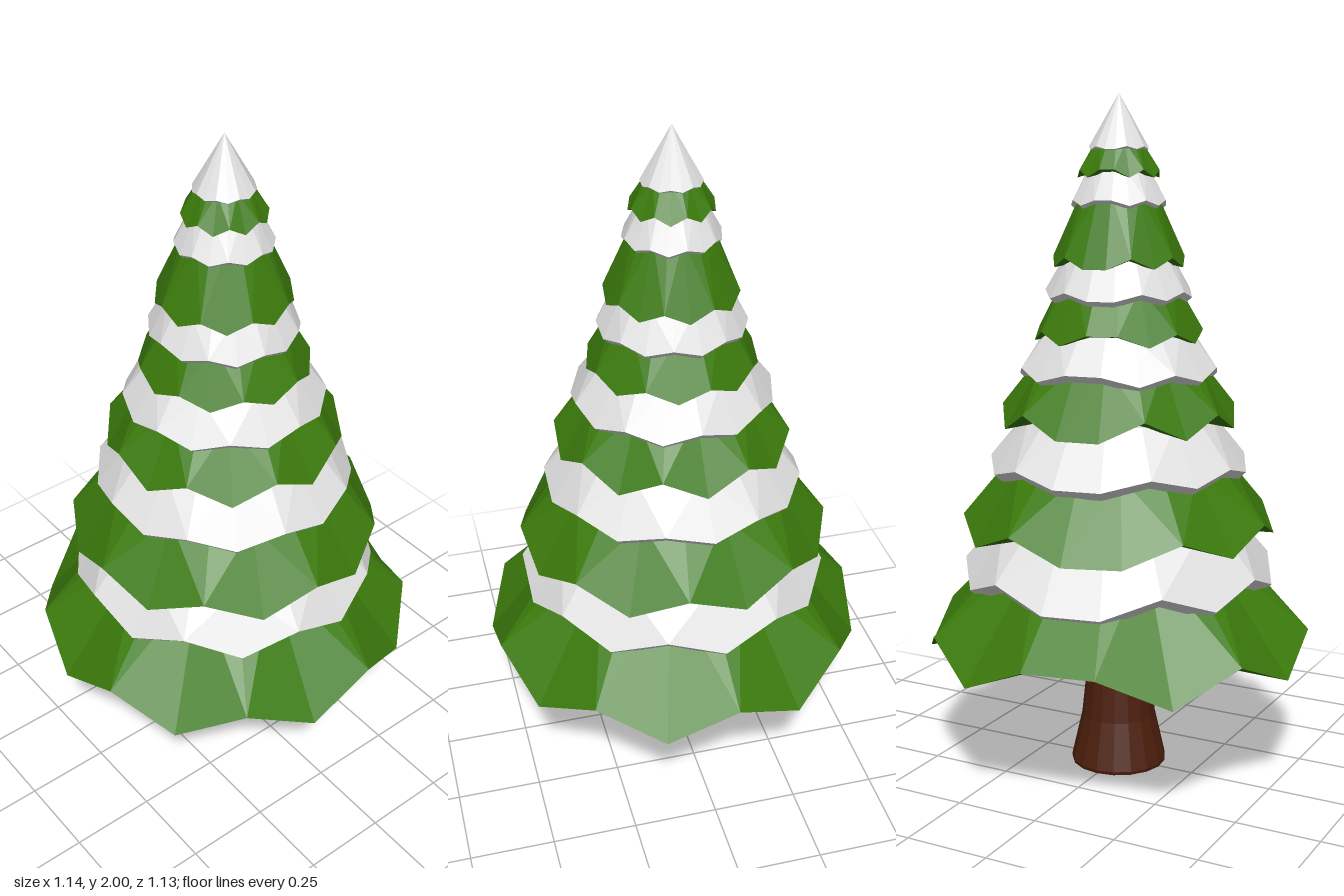
import * as THREE from 'three';

const SIDES = 17;

// Joins rings [radius, highY, lowY], listed top to bottom, into a faceted solid.
// Every second corner of a ring hangs down to lowY; quads fold outward at the high corners.
function facetedRings(rings, parity, spin) {
  const hangs = (i) => (i % SIDES + parity) % 2 === 1;
  const corner = ([r, hi, lo = hi], i) => {
    const a = ((i % SIDES) / SIDES) * Math.PI * 2 + spin;
    return [r * Math.sin(a), hangs(i) ? lo : hi, -r * Math.cos(a)];
  };
  const pos = [];
  for (let j = 0; j < rings.length - 1; j++) {
    const A = rings[j], B = rings[j + 1];
    for (let i = 0; i < SIDES; i++) {
      const a0 = corner(A, i), a1 = corner(A, i + 1);
      const b0 = corner(B, i), b1 = corner(B, i + 1);
      if (A[0] === 0) pos.push(...a0, ...b1, ...b0);
      else if (B[0] === 0) pos.push(...a0, ...a1, ...b1);
      else if (hangs(i)) pos.push(...a0, ...a1, ...b1, ...a0, ...b1, ...b0);
      else pos.push(...a0, ...a1, ...b0, ...a1, ...b1, ...b0);
    }
  }
  const g = new THREE.BufferGeometry();
  g.setAttribute('position', new THREE.Float32BufferAttribute(pos, 3));
  g.computeVertexNormals();
  return g;
}

export function createModel() {
  const needles = new THREE.MeshStandardMaterial({ color: 0x3c7c0c });
  needles.name = 'needle green';
  const snow = new THREE.MeshStandardMaterial({ color: 0xe4e4e4 });
  snow.name = 'snow white';
  const bark = new THREE.MeshStandardMaterial({ color: 0x4d1f0b });
  bark.name = 'bark brown';

  const tree = new THREE.Group();
  tree.name = 'snowyPineTree';
  const add = (name, geometry, material) => {
    const mesh = new THREE.Mesh(geometry, material);
    mesh.name = name;
    mesh.position.z = 0.006;
    tree.add(mesh);
  };

  // Trunk, flared at the foot
  add('trunk', facetedRings([
    [0, 0.5], [0.08, 0.5], [0.09, 0.36], [0.112, 0.15], [0.144, 0.01], [0.142, 0], [0, 0],
  ], 0, 0), bark);

  // Branch tiers: edge radius, high and low edge, top radius and height, parity, spin
  const branches = [
    [0.572, 0.45, 0.36, 0.30, 0.72, 0, 0],
    [0.462, 0.785, 0.723, 0.32, 0.95, 1, -0.13],
    [0.345, 1.105, 1.047, 0.23, 1.25, 1, 0.05],
    [0.246, 1.33, 1.297, 0.17, 1.46, 0, -0.1],
    [0.192, 1.54, 1.51, 0.11, 1.72, 1, 0.08],
    [0.119, 1.785, 1.763, 0.07, 1.86, 0, 0],
  ];
  branches.forEach(([r, hi, lo, topR, topY, parity, spin], n) => {
    const underY = hi - (hi - lo) * 0.4;
    add('branchTier' + (n + 1), facetedRings([
      [0, topY], [topR, topY], [r, hi, lo], [r * 0.68, underY], [0, underY],
    ], parity, spin), needles);
  });

  // Snow layers, each with a thick lip that turns inward
  const layers = [
    [0.461, 0.638, 0.58, 0.36, 0.755, 1, 0, 0.028],
    [0.381, 0.95, 0.917, 0.275, 1.08, 1, 0.02, 0.025],
    [0.293, 1.223, 1.195, 0.215, 1.325, 0, 0.06, 0.02],
    [0.214, 1.443, 1.423, 0.16, 1.535, 1, -0.05, 0.016],
    [0.138, 1.7, 1.685, 0.09, 1.785, 0, 0.04, 0.009],
    [0.086, 1.85, 1.842, 0, 2, 1, 0, 0.006],
  ];
  layers.forEach(([r, hi, lo, topR, topY, parity, spin, lip], n) => {
    const rings = [
      [topR, topY], [r, hi, lo], [r - lip, hi - lip, lo - lip],
      [r * 0.75, hi], [0, hi],
    ];
    if (topR > 0) rings.unshift([0, topY]);
    add(topR > 0 ? 'snowLayer' + (n + 1) : 'snowCap', facetedRings(rings, parity, spin), snow);
  });

  return tree;
}
